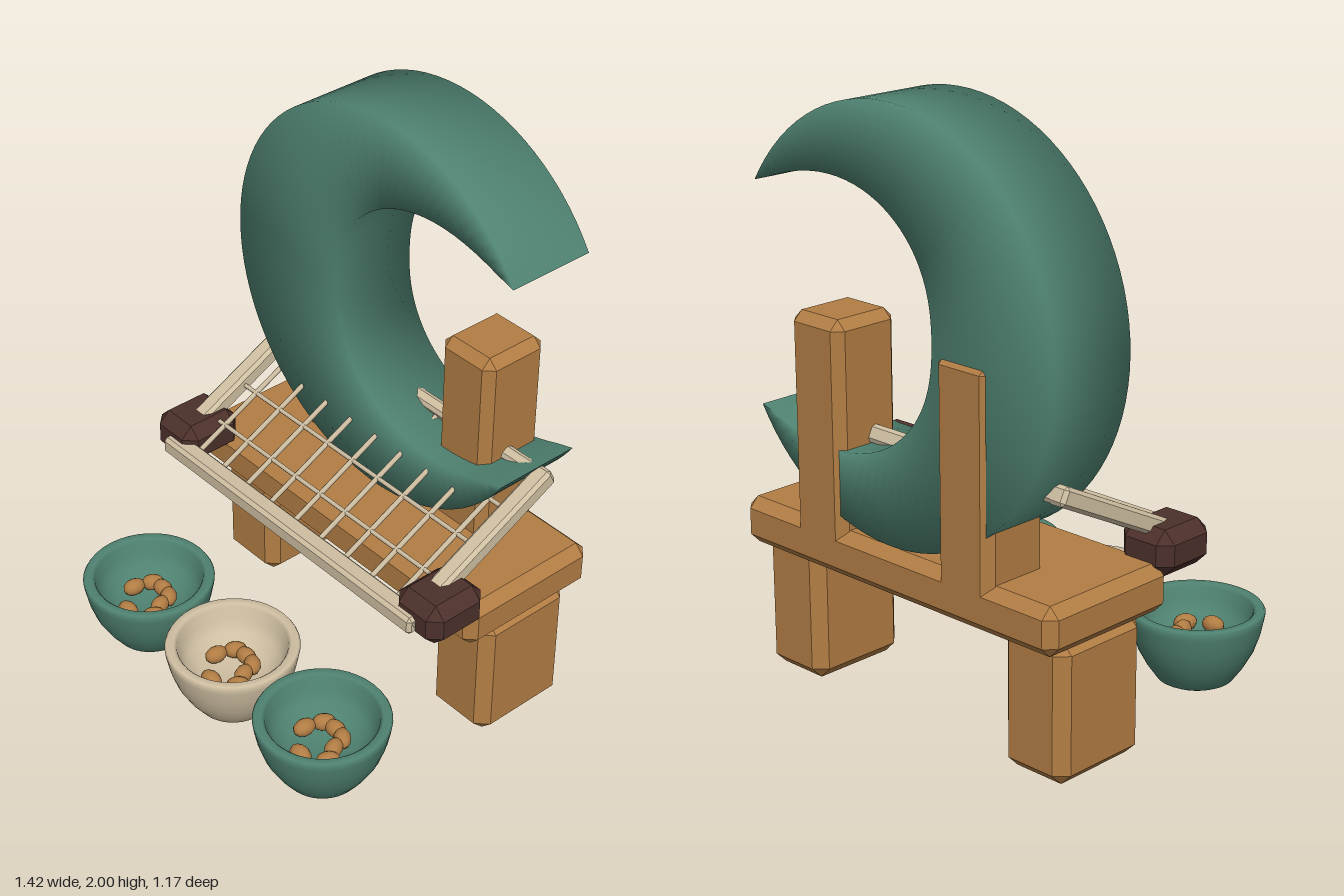
import * as THREE from 'three';
import { ConvexGeometry } from 'three/addons/geometries/ConvexGeometry.js';

const material = (name, color) => {
  const m = new THREE.MeshStandardMaterial({ color });
  m.name = name;
  return m;
};

// Box with flat chamfers on all edges
function chamferBox(w, h, d, c) {
  const pts = [];
  for (const sx of [-1, 1]) for (const sy of [-1, 1]) for (const sz of [-1, 1]) {
    const x = w / 2, y = h / 2, z = d / 2;
    pts.push(
      new THREE.Vector3(sx * x, sy * (y - c), sz * (z - c)),
      new THREE.Vector3(sx * (x - c), sy * y, sz * (z - c)),
      new THREE.Vector3(sx * (x - c), sy * (y - c), sz * z));
  }
  return new ConvexGeometry(pts);
}

// Crescent: a circular outer rim, with thickness fading to a sharp edge at both tips
function crescentGeometry(radius, thickness, depth, tipAngle, segments) {
  const pos = [], index = [];
  for (let i = 0; i <= segments; i++) {
    const t = i / segments;
    const a = tipAngle + t * (2 * Math.PI - 2 * tipAngle);
    const s = Math.max(0, Math.sin(Math.PI * (t < 0.5 ? t : 1 - t)));
    const inner = radius - thickness * Math.pow(s, 0.8);
    for (const [r, z] of [[radius, 1], [inner, 1], [inner, -1], [radius, -1]]) {
      pos.push(r * Math.cos(a), r * Math.sin(a), z * depth / 2);
    }
    if (i === segments) continue;
    for (let k = 0; k < 4; k++) {
      const p = i * 4 + k, q = i * 4 + (k + 1) % 4;
      index.push(p, p + 4, q + 4, p, q + 4, q);
    }
  }
  const g = new THREE.BufferGeometry();
  g.setAttribute('position', new THREE.Float32BufferAttribute(pos, 3));
  g.setIndex(index);
  g.computeVertexNormals();
  return g;
}

export function createModel() {
  const green = material('sage green', 0x4f8271);
  const wood = material('warm wood', 0xb27d44);
  const cream = material('cream', 0xcfbfa2);
  const dark = material('dark brown', 0x4c302b);
  const model = new THREE.Group();
  model.name = 'moonBench';

  const add = (name, geometry, mat, x, y, z, parent = model) => {
    const mesh = new THREE.Mesh(geometry, mat);
    mesh.name = name;
    mesh.position.set(x, y, z);
    parent.add(mesh);
    return mesh;
  };

  // Bench with legs and rear posts
  add('benchTop', chamferBox(1.375, 0.16, 0.535, 0.035), wood, 0, 0.528, -0.318);
  for (const s of [-1, 1]) {
    const side = s > 0 ? 'left' : 'right';
    add(side + 'Leg', chamferBox(0.26, 0.47, 0.37, 0.04), wood, s * 0.54, 0.235, -0.33);
    add(side + 'Post', chamferBox(0.23, 0.75, 0.255, 0.032), wood, s * 0.32, 0.915, -0.458);
  }

  // Crescent moon
  add('moon', crescentGeometry(0.69, 0.495, 0.315, THREE.MathUtils.degToRad(32), 72),
    green, 0, 1.31, -0.415);

  // Tilted net frame, running from the front rail up to the rear rail
  const front = new THREE.Vector3(0, 0.622, 0.12);
  const rear = new THREE.Vector3(0, 0.9, -0.435);
  const mid = front.clone().lerp(rear, 0.5);
  const length = front.distanceTo(rear);
  const tilt = Math.atan2(rear.y - front.y, front.z - rear.z);
  const frame = new THREE.Group();
  frame.name = 'netFrame';
  model.add(frame);

  const railGeometry = chamferBox(1.245, 0.064, 0.07, 0.012);
  add('frontRail', railGeometry, cream, front.x, front.y, front.z, frame);
  add('rearRail', chamferBox(1.245, 0.06, 0.05, 0.012), cream, 0, rear.y, rear.z, frame)
    .rotation.x = tilt;
  for (const s of [-1, 1]) {
    const side = s > 0 ? 'left' : 'right';
    add(side + 'Arm', chamferBox(0.066, 0.064, length + 0.05, 0.012), cream,
      s * 0.59, mid.y, mid.z, frame).rotation.x = tilt;
    add(side + 'CornerBlock', chamferBox(0.203, 0.15, 0.232, 0.04), dark,
      s * 0.608, 0.635, 0.013, frame);
  }

  // Net wires
  for (let i = -4; i <= 4; i++) {
    add('longWire', new THREE.CylinderGeometry(0.009, 0.009, length, 6), cream,
      i * 0.1243, mid.y, mid.z, frame).rotation.x = tilt - Math.PI / 2;
  }
  for (let i = 1; i <= 3; i++) {
    const p = front.clone().lerp(rear, i / 4);
    add('crossWire', new THREE.CylinderGeometry(0.008, 0.008, 1 + i * 0.055, 6), cream,
      0, p.y, p.z, frame).rotation.z = Math.PI / 2;
  }

  // Bowls with a spiral of pellets
  const profile = [
    [0, 0.015], [0.115, 0.015], [0.128, 0.022], [0.162, 0.07], [0.192, 0.125],
    [0.212, 0.185], [0.222, 0.235], [0.225, 0.255], [0.219, 0.265], [0.195, 0.265],
    [0.185, 0.255], [0.176, 0.215], [0.155, 0.175], [0.115, 0.145], [0.06, 0.132], [0, 0.13],
  ].map(([r, y]) => new THREE.Vector2(r, y));
  const bowlGeometry = new THREE.LatheGeometry(profile, 40);
  const pelletGeometry = new THREE.SphereGeometry(1, 10, 7);
  // x, z and heading of each pellet
  const pellets = [
    [-0.075, 0.012, 1.45], [-0.052, -0.052, 0.9], [-0.005, -0.06, 0.1], [0.042, -0.048, -0.6],
    [0.058, 0.002, -1.2], [0.087, 0.05, 1.0], [0.008, 0.099, 0.1],
  ];
  for (const i of [-1, 0, 1]) {
    const bowl = new THREE.Group();
    bowl.name = ['rightBowl', 'middleBowl', 'leftBowl'][i + 1];
    bowl.position.set(i * 0.455, 0, 0.361);
    model.add(bowl);
    add('bowlShell', bowlGeometry, i === 0 ? cream : green, 0, 0, 0, bowl);
    for (const [x, z, heading] of pellets) {
      const pellet = add('pellet', pelletGeometry, wood, x, 0.165, z, bowl);
      pellet.scale.set(0.041, 0.029, 0.029);
      pellet.rotation.y = heading;
    }
  }
  return model;
}
